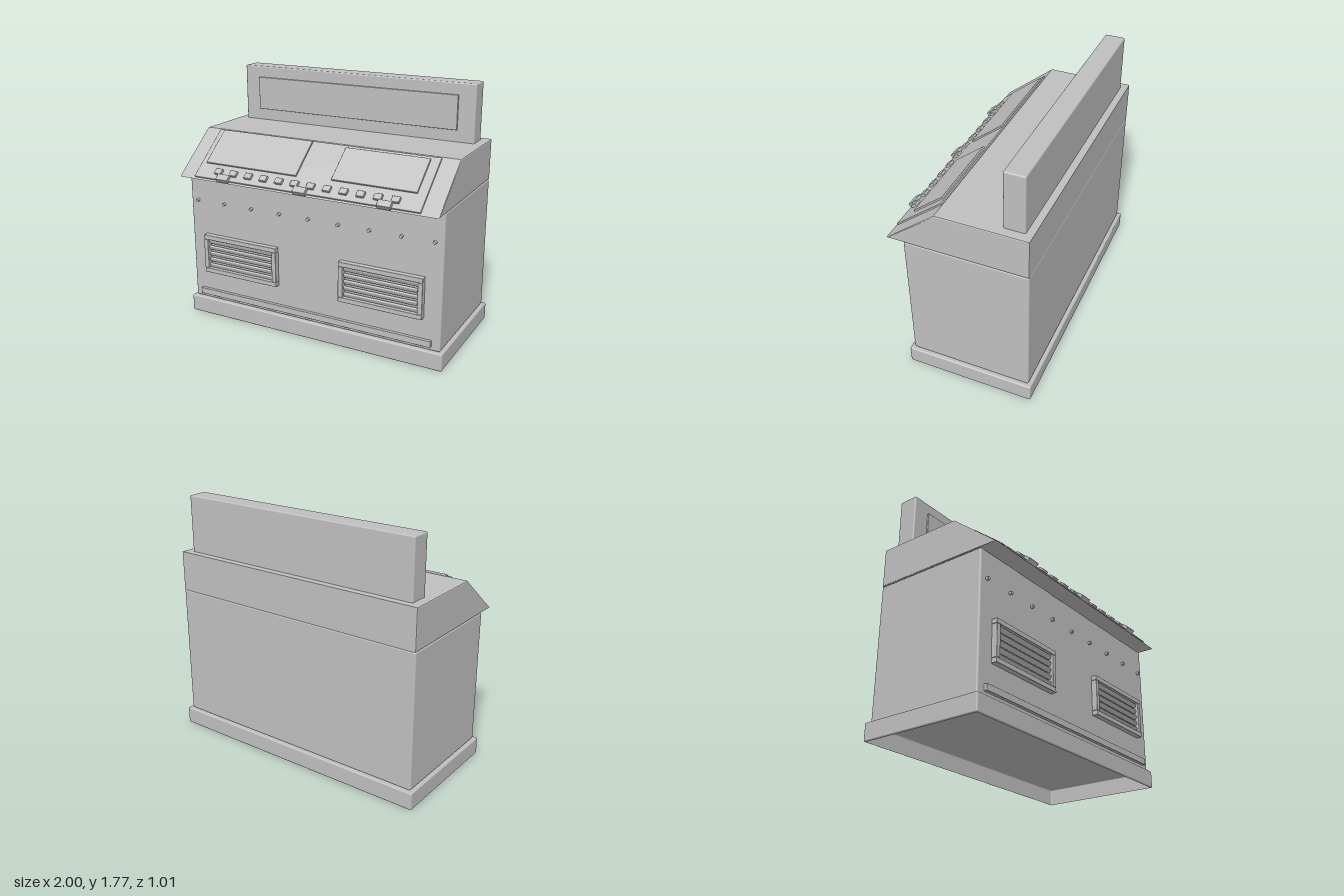
import * as THREE from 'three';
import { RoundedBoxGeometry } from 'three/addons/geometries/RoundedBoxGeometry.js';

const grey = new THREE.MeshStandardMaterial({ color: 0xbfbfbf });
grey.name = 'grey';
const greyShell = new THREE.MeshStandardMaterial({ color: 0xbfbfbf, side: THREE.DoubleSide });
greyShell.name = 'grey shell';

function add(parent, name, geometry, material = grey) {
  const mesh = new THREE.Mesh(geometry, material);
  mesh.name = name;
  parent.add(mesh);
  return mesh;
}

// Soft-edged box given by its minimum and maximum on each axis
function block(parent, name, [x0, x1], [y0, y1], [z0, z1], r = 0.004) {
  const geometry = new RoundedBoxGeometry(x1 - x0, y1 - y0, z1 - z0, 2, r);
  const mesh = add(parent, name, geometry);
  mesh.position.set((x0 + x1) / 2, (y0 + y1) / 2, (z0 + z1) / 2);
  return mesh;
}

// Removes the flat underside so the plinth is an open shell
function openBottom(mesh) {
  const p = mesh.geometry.attributes.position;
  const n = mesh.geometry.attributes.normal;
  mesh.geometry.computeBoundingBox();
  const low = mesh.geometry.boundingBox.min.y + 0.0005;
  const pos = [], nor = [];
  for (let i = 0; i < p.count; i += 3) {
    if (p.getY(i) < low && p.getY(i + 1) < low && p.getY(i + 2) < low) continue;
    for (let k = i; k < i + 3; k++) {
      pos.push(p.getX(k), p.getY(k), p.getZ(k));
      nor.push(n.getX(k), n.getY(k), n.getZ(k));
    }
  }
  const shell = new THREE.BufferGeometry();
  shell.setAttribute('position', new THREE.Float32BufferAttribute(pos, 3));
  shell.setAttribute('normal', new THREE.Float32BufferAttribute(nor, 3));
  mesh.geometry = shell;
  mesh.material = greyShell;
}

// Louvred vent centred on x
function addVent(parent, x) {
  const vent = new THREE.Group();
  vent.name = 'vent';
  vent.position.set(x, 0.49, 0.365);
  parent.add(vent);
  const w = 0.305, h = 0.145, t = 0.034;
  for (const s of [-1, 1]) {
    const rail = s * (h - t / 2), stile = s * (w - t / 2);
    block(vent, 'ventRail', [-w, w], [rail - t / 2, rail + t / 2], [0, 0.045]);
    block(vent, 'ventStile', [stile - t / 2, stile + t / 2], [-h + t, h - t], [0, 0.045]);
  }
  for (let i = -2; i <= 2; i++) {
    const y = i * 0.046;
    const slat = block(vent, 'ventSlat', [-w + t, w - t], [y - 0.017, y + 0.017], [0.012, 0.03], 0.007);
    slat.rotation.x = 0.4;
  }
}

export function createModel() {
  const model = new THREE.Group();
  model.name = 'console';

  // Plinth and cabinet
  openBottom(block(model, 'plinth', [-1, 1], [0, 0.124], [-0.508, 0.395], 0.01));
  block(model, 'cabinet', [-0.975, 0.975], [0.124, 1.08], [-0.483, 0.37], 0.012);
  block(model, 'kickStrip', [-0.915, 0.915], [0.153, 0.199], [0.36, 0.393]);

  // Row of studs below the overhang
  for (let i = -4; i <= 4; i++) {
    const stud = add(model, 'stud', new THREE.CylinderGeometry(0.011, 0.013, 0.03, 16));
    stud.rotation.x = Math.PI / 2;
    stud.position.set(i * 0.2285, 0.882, 0.375);
  }
  for (const x of [-0.55, 0.55]) addVent(model, x);

  // Head with sloping front, profile drawn in z and y
  const profile = new THREE.Shape([
    [-0.483, 1.08], [0.49, 1.08], [0.135, 1.365], [-0.483, 1.365],
  ].map(([z, y]) => new THREE.Vector2(z, y)));
  const head = new THREE.ExtrudeGeometry(profile, {
    depth: 1.93, bevelThickness: 0.01, bevelSize: 0.008, bevelOffset: -0.008, bevelSegments: 2,
  });
  head.translate(0, 0, -0.965);
  head.rotateY(-Math.PI / 2);
  add(model, 'head', head);

  // Control panel: local y runs up the slope, local z points out of it
  const panel = new THREE.Group();
  panel.name = 'controlPanel';
  panel.position.set(0, 1.08, 0.485);
  panel.rotation.x = -Math.atan2(0.355, 0.285);
  model.add(panel);
  block(panel, 'panelPlate', [-0.852, 0.852], [0.012, 0.44], [-0.01, 0.014]);
  block(panel, 'wideDisplay', [-0.808, -0.078], [0.134, 0.432], [0, 0.026]);
  block(panel, 'smallDisplay', [0.182, 0.788], [0.146, 0.416], [0, 0.026]);
  for (let i = 0; i < 12; i++) {
    const x = (i - 5.5) * 0.1218;
    block(panel, 'button', [x - 0.028, x + 0.028], [0.05, 0.095], [0, 0.032]);
  }
  for (const x of [-0.61, 0, 0.61]) {
    block(panel, 'catch', [x - 0.048, x + 0.048], [0, 0.05], [0, 0.036]);
  }

  // Upright sign with its display
  block(model, 'sign', [-0.912, 0.912], [1.35, 1.77], [-0.433, -0.29], 0.01);
  block(model, 'signDisplay', [-0.79, 0.79], [1.447, 1.688], [-0.3, -0.277]);

  return model;
}
